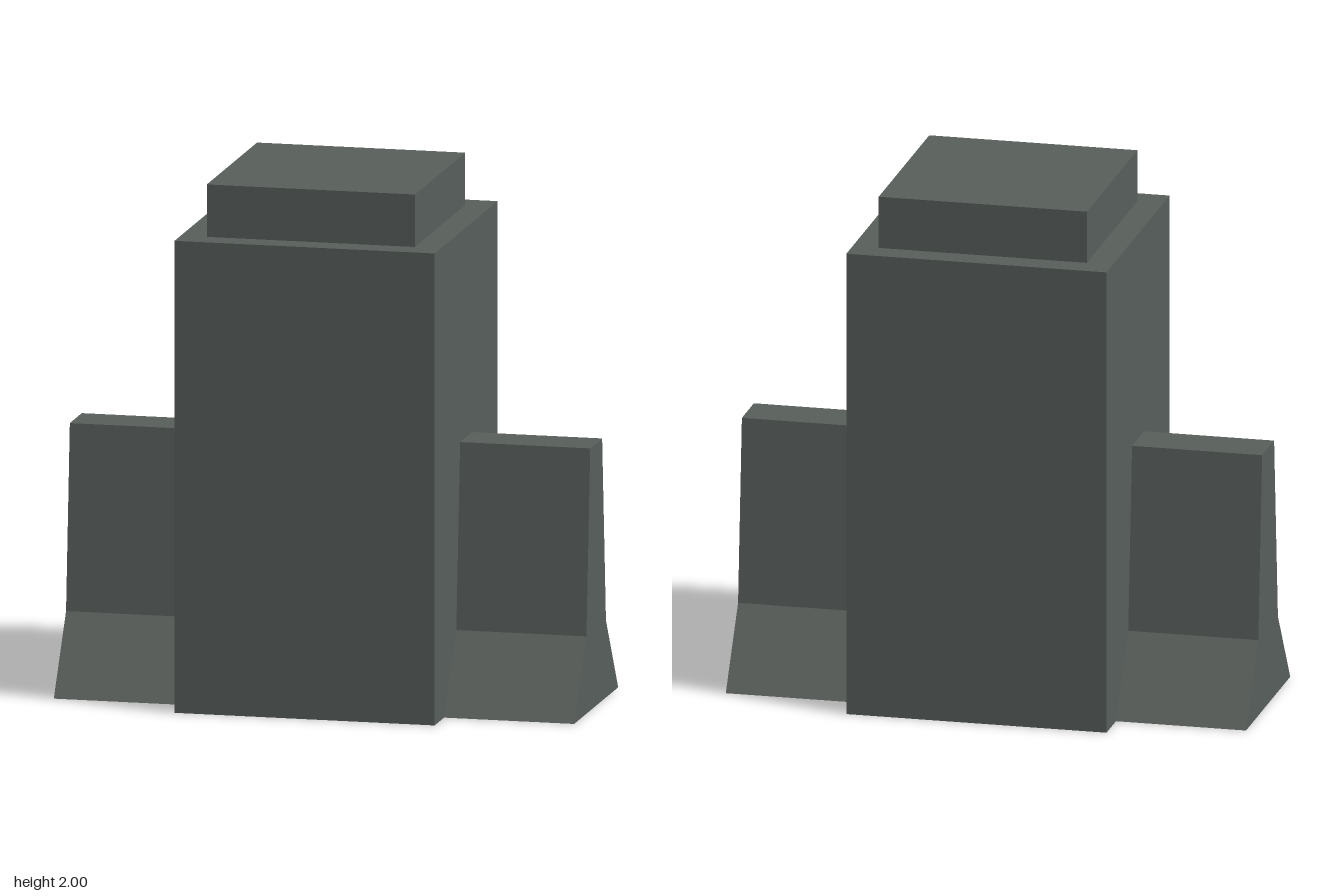
import * as THREE from 'three';

export function createModel() {
  const model = new THREE.Group();
  const stone = new THREE.MeshStandardMaterial({ color: 0x59605c });
  stone.name = 'grey stone';

  function add(name, geometry, x, y, z) {
    const mesh = new THREE.Mesh(geometry, stone);
    mesh.name = name;
    mesh.position.set(x, y, z);
    model.add(mesh);
  }

  // Square pillar with a smaller cap block
  add('pillar', new THREE.BoxGeometry(1, 1.8, 1), 0, 0.9, 0);
  add('cap', new THREE.BoxGeometry(0.8, 0.2, 0.8), 0, 1.9, 0);

  // Wall section with a flared foot, extruded along x on both sides
  const half = [[0.35, 0], [0.155, 0.295], [0.095, 1]];
  const profile = new THREE.Shape([
    ...half.map(([z, y]) => new THREE.Vector2(z, y)),
    ...half.slice().reverse().map(([z, y]) => new THREE.Vector2(-z, y)),
  ]);
  const wall = new THREE.ExtrudeGeometry(profile, { depth: 0.5, bevelEnabled: false });
  wall.rotateY(Math.PI / 2);
  add('leftWall', wall, 0.5, 0, 0);
  add('rightWall', wall, -1, 0, 0);

  return model;
}
